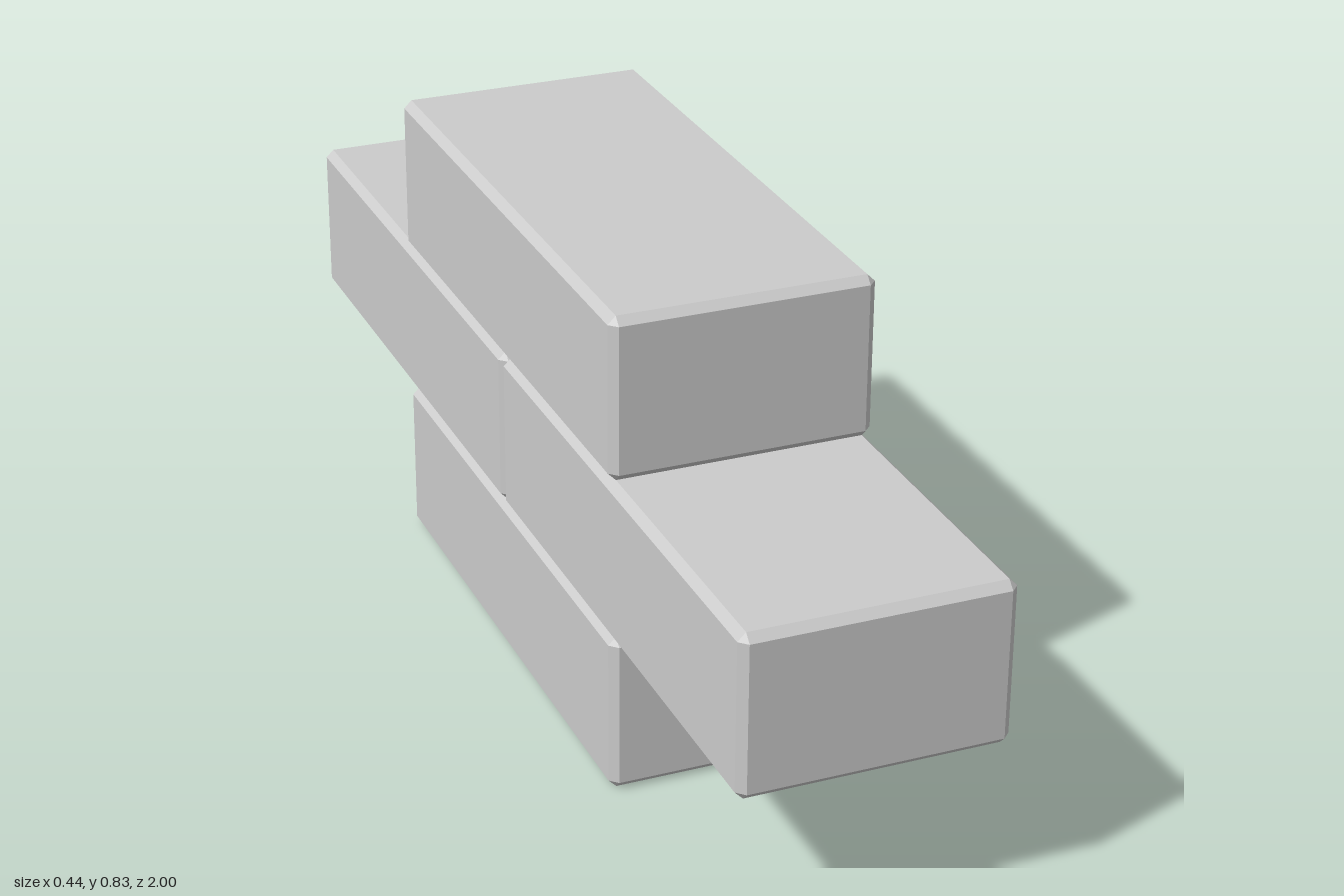
import * as THREE from 'three';
import { ConvexGeometry } from 'three/addons/geometries/ConvexGeometry.js';

const WIDTH = 0.444, HEIGHT = 0.2778, LENGTH = 1, BEVEL = 0.0135;

// Box with flat 45 degree bevels: the hull of three slightly shrunken corners per box corner
function bevelledBox(w, h, l, b) {
  const points = [];
  for (const sx of [-1, 1]) for (const sy of [-1, 1]) for (const sz of [-1, 1]) {
    const x = w / 2, y = h / 2, z = l / 2;
    points.push(
      new THREE.Vector3(sx * x, sy * (y - b), sz * (z - b)),
      new THREE.Vector3(sx * (x - b), sy * y, sz * (z - b)),
      new THREE.Vector3(sx * (x - b), sy * (y - b), sz * z)
    );
  }
  return new ConvexGeometry(points);
}

export function createModel() {
  const group = new THREE.Group();
  group.name = 'brickStack';
  const material = new THREE.MeshStandardMaterial({ color: 0xcccccc, flatShading: true });
  const geometry = bevelledBox(WIDTH, HEIGHT, LENGTH, BEVEL);

  // Running bond: one brick, two end to end, one on top
  const bricks = [
    ['bottomBrick', 0, 0],
    ['middleFrontBrick', 1, LENGTH / 2],
    ['middleBackBrick', 1, -LENGTH / 2],
    ['topBrick', 2, 0],
  ];
  for (const [name, row, z] of bricks) {
    const brick = new THREE.Mesh(geometry, material);
    brick.name = name;
    brick.position.set(0, (row + 0.5) * HEIGHT, z);
    group.add(brick);
  }
  return group;
}
